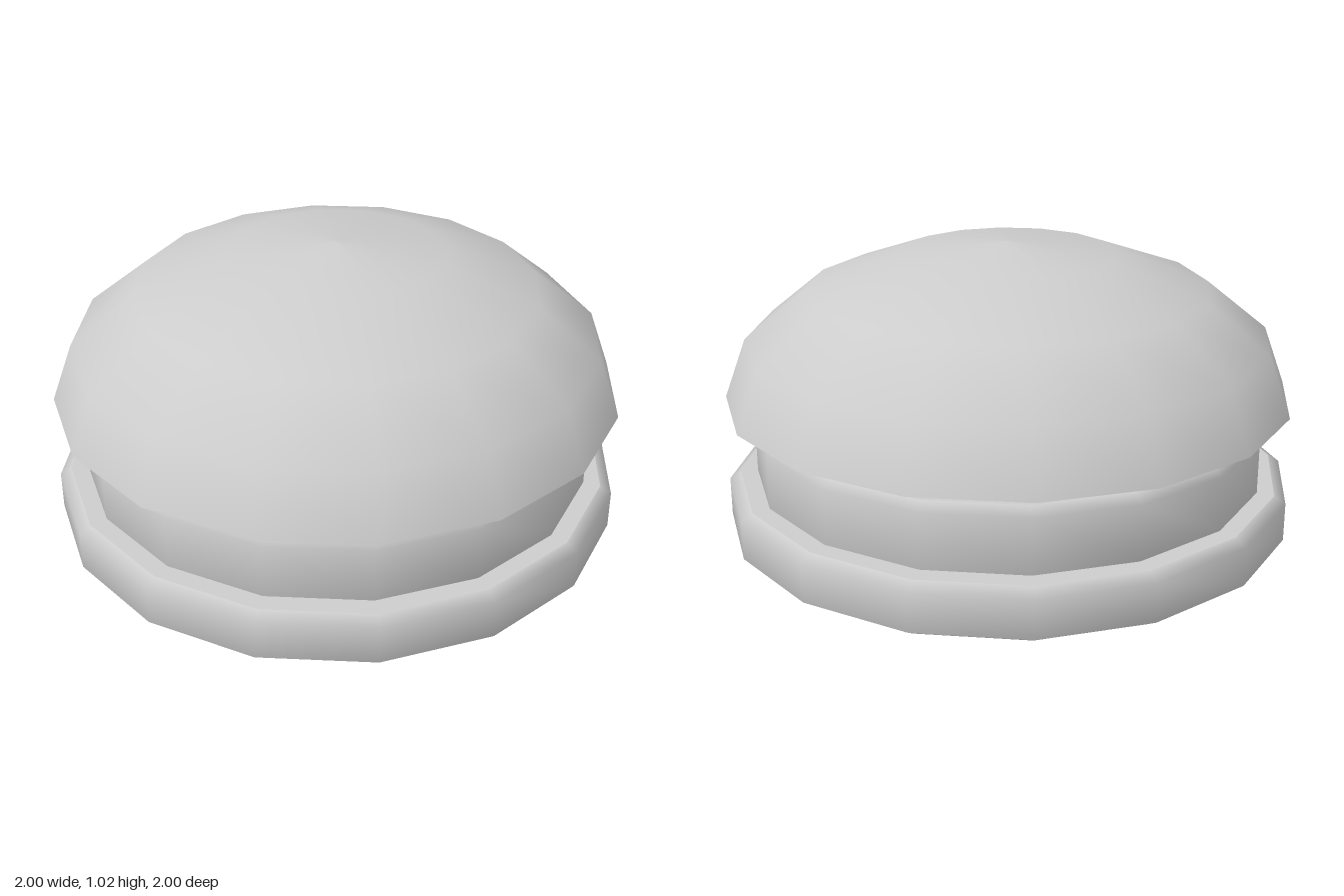
import * as THREE from 'three';

const SIDES = 16;

// Turned solid; a repeated point in the profile makes a sharp edge.
function turned(name, profile, material) {
  const points = profile.map(([r, y]) => new THREE.Vector2(r, y));
  const mesh = new THREE.Mesh(new THREE.LatheGeometry(points, SIDES), material);
  mesh.name = name;
  return mesh;
}

// Flat round slab with bevelled rims.
function slab(name, radius, bottom, top, material) {
  const lo = [radius - 0.05, bottom], hi = [radius - 0.04, top];
  return turned(name, [
    [0, bottom], lo, lo,
    [radius, bottom + 0.03], [radius, top - 0.025],
    hi, hi, [0, top],
  ], material);
}

export function createModel() {
  const group = new THREE.Group();
  const grey = new THREE.MeshStandardMaterial({ color: 0xcccccc });
  grey.name = 'plain grey';

  // Lower bun and patty
  group.add(slab('bottomBun', 1, 0, 0.19, grey));
  group.add(slab('patty', 0.9, 0.165, 0.41, grey));

  // Lettuce: thin disc whose rim rises in four folds on the diagonals
  const leaf = turned('lettuce', [
    [0, 0.411], [0.4, 0.411], [0.8, 0.411], [0.8, 0.411],
    [0.8, 0.421], [0.8, 0.421], [0.4, 0.421], [0, 0.421],
  ], grey);
  const pos = leaf.geometry.attributes.position;
  for (let i = 0; i < pos.count; i++) {
    const x = pos.getX(i), z = pos.getZ(i);
    const fold = (1 - Math.cos(4 * Math.atan2(x, z))) / 2;
    pos.setY(i, pos.getY(i) + 0.05 * fold * Math.hypot(x, z) / 0.8);
  }
  leaf.geometry.computeVertexNormals();
  group.add(leaf);

  // Tomato slices resting on the lettuce
  for (const [x, z] of [[0.45, -0.18], [-0.25, 0.38]]) {
    const slice = new THREE.Mesh(new THREE.CylinderGeometry(0.25, 0.25, 0.06, SIDES), grey);
    slice.name = 'tomatoSlice';
    slice.position.set(x, x > 0 ? 0.447 : 0.435, z);
    group.add(slice);
  }

  // Domed upper bun
  const dome = [[0, 0.477], [0.995, 0.477]];
  for (let i = 0; i <= 4; i++) {
    const a = (i / 4) * Math.PI / 2;
    dome.push([Math.max(0, 0.995 * Math.cos(a)), 0.477 + 0.54 * Math.sin(a)]);
  }
  group.add(turned('topBun', dome, grey));

  return group;
}
